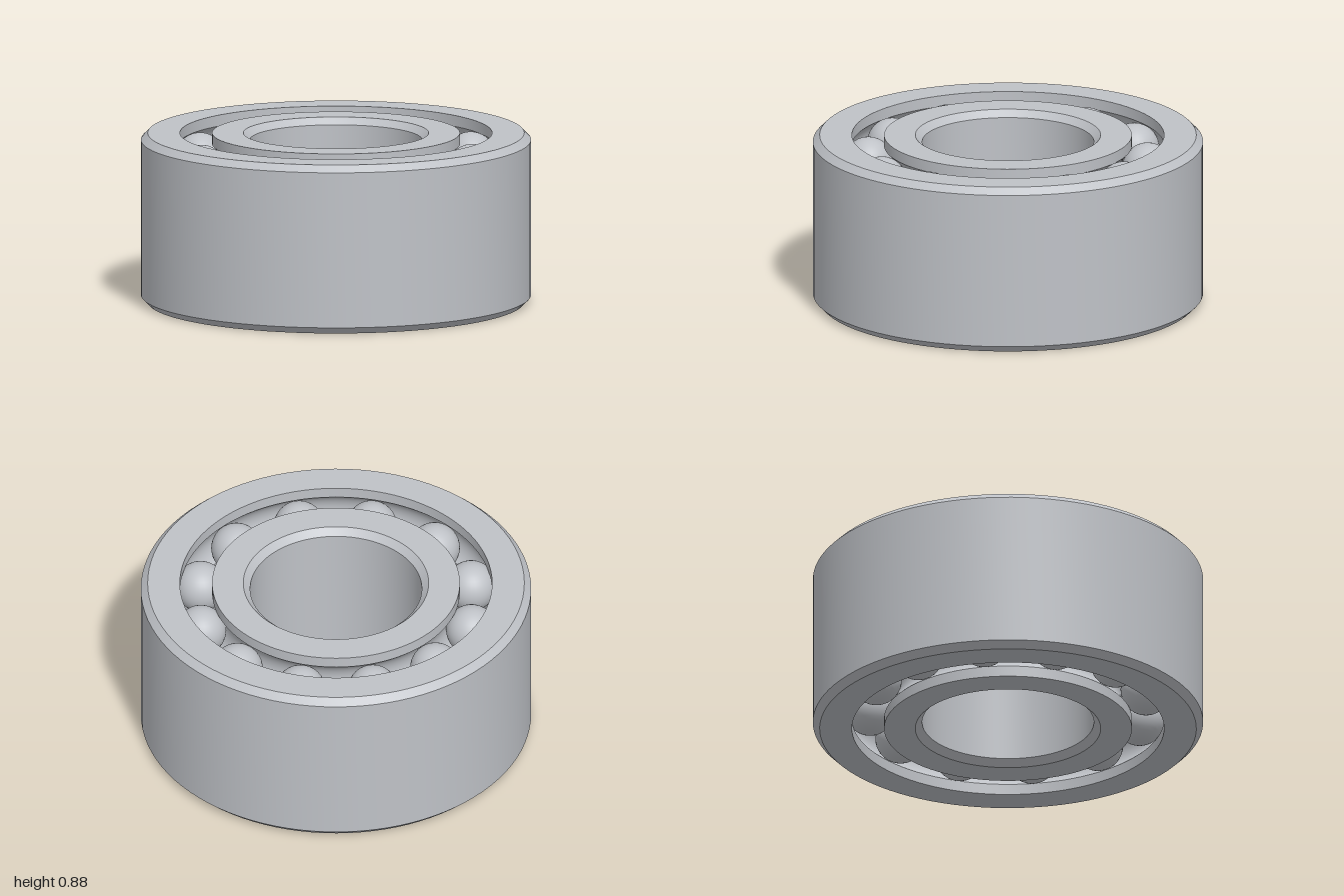
import * as THREE from 'three';
import { toCreasedNormals } from 'three/addons/utils/BufferGeometryUtils.js';

const HEIGHT = 0.876;
const CHAMFER = 0.035;
const OUTER = 1, BORE = 0.44;            // outside and bore radii
const OUTER_LIP = 0.8, INNER_LIP = 0.635; // radii of the open gap
const PITCH = (OUTER_LIP + INNER_LIP) / 2;
const BALL_RADIUS = 0.13, GROOVE_RADIUS = 0.132;
const ROWS = [0.16, HEIGHT - 0.16];       // heights of the two ball rows
const BALLS_PER_ROW = 12;

// Arc of a ball groove, as [radius, height] points
function groove(rowY, start, end, steps = 14) {
  return Array.from({ length: steps + 1 }, (_, i) => {
    const a = start + (end - start) * i / steps;
    return [PITCH + GROOVE_RADIUS * Math.cos(a), rowY + GROOVE_RADIUS * Math.sin(a)];
  });
}

// Closed counter-clockwise profile turned around y, with crisp edges
function ring(name, profile, material) {
  const points = [...profile, profile[0]].map(([r, y]) => new THREE.Vector2(r, y));
  const geometry = toCreasedNormals(new THREE.LatheGeometry(points, 96), 0.5);
  const mesh = new THREE.Mesh(geometry, material);
  mesh.name = name;
  return mesh;
}

export function createModel() {
  const steel = new THREE.MeshStandardMaterial({ color: 0xbfc2c7 });
  steel.name = 'steel';
  const model = new THREE.Group();
  model.name = 'ballBearing';
  const [lowRow, highRow] = ROWS;
  const a = Math.acos((OUTER_LIP - PITCH) / GROOVE_RADIUS);

  // Outer race: chamfered outside, two grooves inside
  model.add(ring('outerRace', [
    [OUTER_LIP, 0], [OUTER - CHAMFER, 0], [OUTER, CHAMFER],
    [OUTER, HEIGHT - CHAMFER], [OUTER - CHAMFER, HEIGHT], [OUTER_LIP, HEIGHT],
    ...groove(highRow, a, -a), ...groove(lowRow, a, -a),
  ], steel));

  // Inner race: chamfered bore, two grooves outside
  model.add(ring('innerRace', [
    [BORE + CHAMFER, 0], [INNER_LIP, 0],
    ...groove(lowRow, Math.PI + a, Math.PI - a), ...groove(highRow, Math.PI + a, Math.PI - a),
    [INNER_LIP, HEIGHT], [BORE + CHAMFER, HEIGHT],
    [BORE, HEIGHT - CHAMFER], [BORE, CHAMFER],
  ], steel));

  // Two rows of balls
  const ballGeometry = new THREE.SphereGeometry(BALL_RADIUS, 32, 20);
  ROWS.forEach((y, row) => {
    const balls = new THREE.Group();
    balls.name = row === 0 ? 'lowerBallRow' : 'upperBallRow';
    for (let i = 0; i < BALLS_PER_ROW; i++) {
      const angle = i / BALLS_PER_ROW * Math.PI * 2;
      const ball = new THREE.Mesh(ballGeometry, steel);
      ball.name = 'ball';
      ball.position.set(PITCH * Math.cos(angle), y, PITCH * Math.sin(angle));
      balls.add(ball);
    }
    model.add(balls);
  });
  return model;
}
